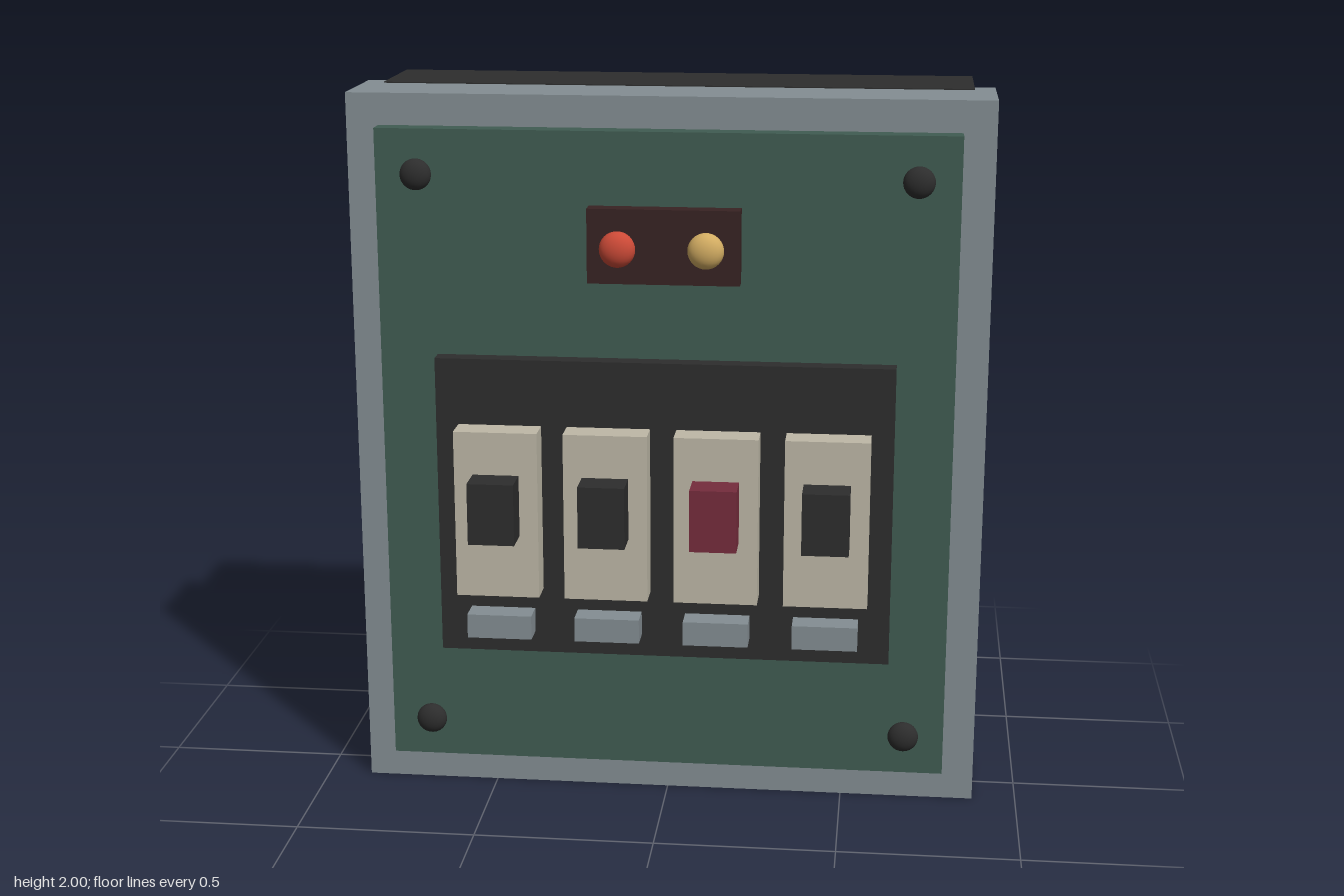
import * as THREE from 'three';

const paint = (name, color) => {
  const m = new THREE.MeshStandardMaterial({ color });
  m.name = name;
  return m;
};

export function createModel() {
  const grey = paint('steel grey', 0x848e93);
  const green = paint('panel green', 0x405c52);
  const black = paint('black', 0x2d2d2d);
  const cream = paint('cream', 0xbeb8a7);
  const maroon = paint('maroon', 0x752c3c);
  const brown = paint('dark brown', 0x382323);
  const red = paint('lamp red', 0xcc4a37);
  const amber = paint('lamp amber', 0xd2ac62);

  const group = new THREE.Group();
  group.name = 'breakerPanel';

  // Box given by its extents along each axis
  const box = (name, mat, [x0, x1], [y0, y1], [z0, z1]) => {
    const mesh = new THREE.Mesh(new THREE.BoxGeometry(x1 - x0, y1 - y0, z1 - z0), mat);
    mesh.position.set((x0 + x1) / 2, (y0 + y1) / 2, (z0 + z1) / 2);
    mesh.name = name;
    group.add(mesh);
  };
  const around = (c, w) => [c - w / 2, c + w / 2];

  // Sphere flattened towards the panel
  const dome = (name, mat, x, y, z, r, depth) => {
    const mesh = new THREE.Mesh(new THREE.SphereGeometry(r, 24, 16), mat);
    mesh.scale.z = depth / r;
    mesh.position.set(x, y, z);
    mesh.name = name;
    group.add(mesh);
  };

  // Enclosure
  box('backBox', black, [-0.82, 0.82], [0.024, 2], [-0.4, -0.1]);
  box('frame', grey, [-0.877, 0.877], [0, 1.997], [-0.16, 0.12]);
  box('facePlate', green, [-0.788, 0.788], [0.1, 1.91], [0.11, 0.18]);

  // Corner bolts
  for (const x of [-0.675, 0.675])
    for (const y of [0.213, 1.788]) dome('bolt', black, x, y, 0.19, 0.043, 0.028);

  // Indicator lamps
  box('lampPlate', brown, [-0.206, 0.206], [1.507, 1.71], [0.17, 0.23]);
  dome('redLamp', red, -0.12, 1.607, 0.26, 0.049, 0.032);
  dome('amberLamp', amber, 0.117, 1.607, 0.26, 0.049, 0.032);

  // Breaker row with toggles and label tabs
  box('breakerPlate', black, [-0.629, 0.629], [0.445, 1.29], [0.17, 0.23]);
  [-0.452, -0.151, 0.151, 0.452].forEach((x, i) => {
    box('breaker', cream, around(x, 0.23), [0.635, 1.105], [0.22, 0.31]);
    box('toggle', i === 2 ? maroon : black, around(x, 0.127), [0.813, 0.985], [0.3, 0.4]);
    box('labelTab', grey, around(x, 0.18), [0.507, 0.575], [0.22, 0.302]);
  });

  return group;
}
